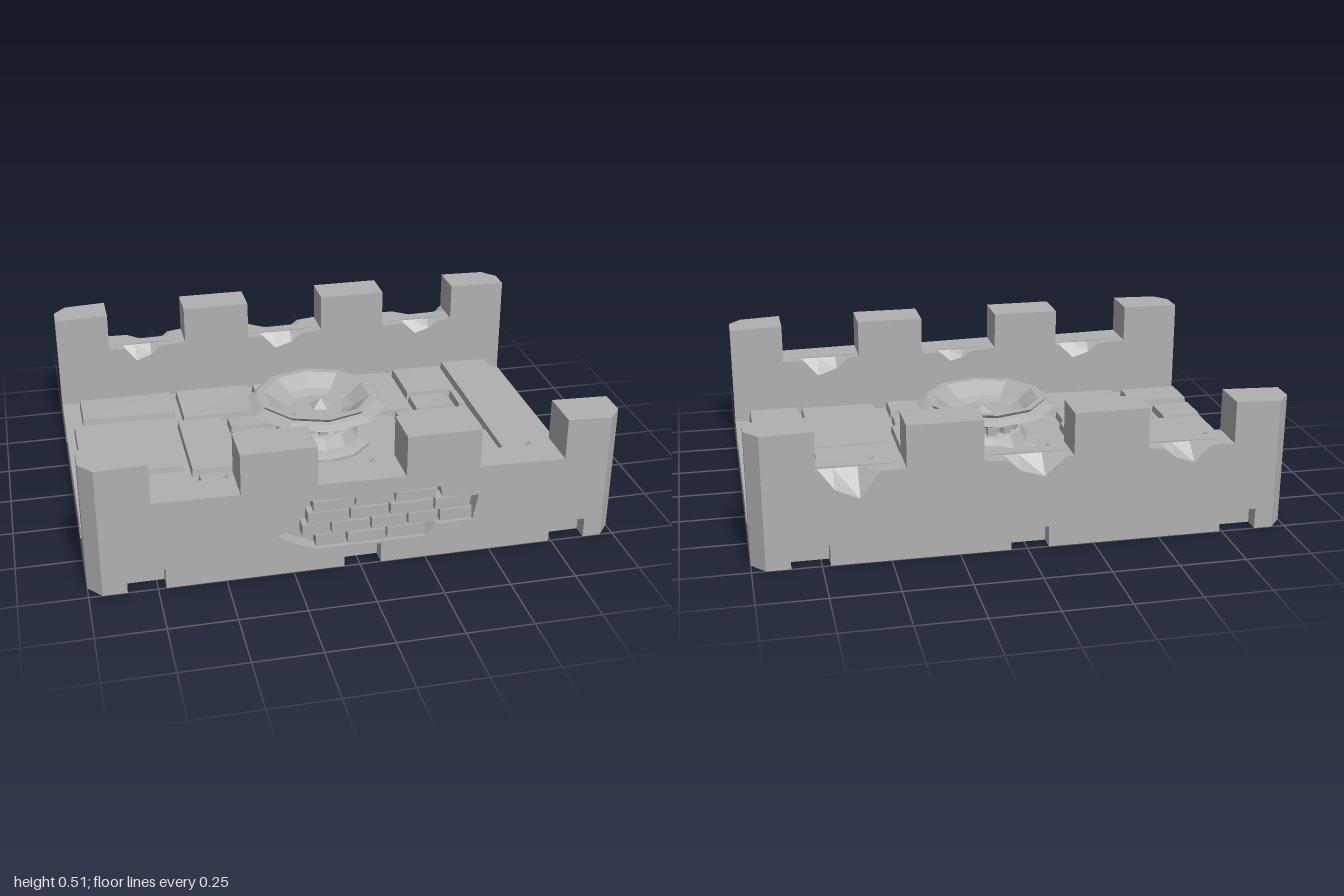
import * as THREE from 'three';

export function createModel() {
  const model = new THREE.Group();
  const stone = new THREE.MeshStandardMaterial({ color: 0xb0b0b0, flatShading: true });
  stone.name = 'grey stone';

  let seed = 7;
  const rand = () => (seed = (seed * 16807) % 2147483647) / 2147483647;
  const jitter = (a) => (rand() - 0.5) * 2 * a;
  const add = (parent, name, geometry, x = 0, y = 0, z = 0) => {
    geometry.computeVertexNormals();
    const mesh = new THREE.Mesh(geometry, stone);
    mesh.name = name;
    mesh.position.set(x, y, z);
    parent.add(mesh);
    return mesh;
  };
  const toShape = (pts) => new THREE.Shape(pts.map(([x, y]) => new THREE.Vector2(x, y)));
  const extrude = (shape, depth) => new THREE.ExtrudeGeometry(shape, { depth, bevelEnabled: false });

  // Battlement outline: optional foot notches and a chip in each gap
  const crenels = [[-0.76, -0.44], [-0.16, 0.17], [0.45, 0.78]];
  function battlement(chips, notched) {
    const pts = [[-1, 0]];
    if (notched) {
      for (const [a, b] of [[-0.86, -0.72], [-0.06, 0.08], [0.74, 0.88]]) {
        pts.push([a, 0], [a, 0.08], [b, 0.08], [b, 0]);
      }
    }
    pts.push([1, 0], [1, 0.505]);
    for (let i = 2; i >= 0; i--) {
      const [a, b] = crenels[i];
      pts.push([b, 0.512], [b, 0.352]);
      if (chips[i]) {
        const [at, width, drop] = chips[i];
        pts.push([at + width, 0.35], [at + width * 0.3, 0.35 - drop], [at - width * 0.5, 0.35 - drop * 0.6], [at - width, 0.35]);
      }
      pts.push([a, 0.358], [a, 0.512]);
    }
    pts.push([-1, 0.508]);
    return toShape(pts);
  }

  // Slopes chips up to the wall core; trims the outer corners
  function dressLayer(geometry, flatZ, trimZ, slopeChips) {
    const p = geometry.attributes.position;
    for (let i = 0; i < p.count; i++) {
      const near = (z) => Math.abs(p.getZ(i) - z) < 1e-4;
      if (slopeChips && near(flatZ) && p.getY(i) > 0.15 && p.getY(i) < 0.35) p.setY(i, 0.35);
      if (near(trimZ) && Math.abs(p.getX(i)) > 0.99) p.setX(i, Math.sign(p.getX(i)) * 0.95);
    }
    return geometry;
  }

  const skin = 0.06;
  function wall(name, thickness, outerChips, innerChips, hole) {
    const group = new THREE.Group();
    group.name = name;
    const outline = battlement(outerChips, true);
    if (hole) outline.holes.push(new THREE.Path(hole.map(([x, y]) => new THREE.Vector2(x, y))));
    add(group, 'outerFace', dressLayer(extrude(outline, skin), 0, skin, !hole), 0, 0, 0.75 - skin);
    const inner = 0.04;
    add(group, 'wallCore', extrude(battlement([], false), thickness - skin - inner), 0, 0, 0.75 - thickness + inner);
    add(group, 'innerFace', dressLayer(extrude(battlement(innerChips, false), inner), inner, -1, true), 0, 0, 0.75 - thickness);
    model.add(group);
    return group;
  }

  // Front wall with a broken patch showing brickwork
  const breach = [[-0.31, 0.16], [-0.24, 0.12], [-0.17, 0.09], [0.25, 0.09], [0.29, 0.135], [0.43, 0.14],
    [0.45, 0.24], [0.31, 0.25], [0.3, 0.295], [0.02, 0.285], [-0.19, 0.295], [-0.24, 0.21]];
  const front = wall('frontWall', 0.17, [], [[-0.55, 0.09, 0.06], [0.02, 0.07, 0.04], [0.6, 0.1, 0.07]], breach);
  const courses = [[0.095, 0.14, [-0.17, -0.05, 0.1, 0.25]], [0.145, 0.19, [-0.22, -0.11, 0.04, 0.18, 0.3, 0.43]],
    [0.195, 0.24, [-0.2, -0.04, 0.11, 0.28, 0.42]], [0.245, 0.284, [-0.18, -0.02, 0.13, 0.29]]];
  for (const [y0, y1, xs] of courses) {
    for (let i = 0; i < xs.length - 1; i++) {
      const w = xs[i + 1] - xs[i] - 0.008;
      add(front, 'exposedBrick', new THREE.BoxGeometry(w, y1 - y0, 0.06), (xs[i] + xs[i + 1]) / 2, (y0 + y1) / 2, 0.714 + jitter(0.004));
    }
  }

  // Back wall, turned to face outward
  wall('backWall', 0.15, [[-0.64, 0.11, 0.1], [0.03, 0.11, 0.07], [0.6, 0.09, 0.06]],
    [[-0.62, 0.08, 0.05], [0.02, 0.09, 0.06], [0.64, 0.08, 0.06]]).rotation.y = Math.PI;

  // Base slab with notches along both open sides
  const edge = [[-1, -0.69], [1, -0.69], [1, -0.48], [0.93, -0.48], [0.93, -0.34], [1, -0.34],
    [1, 0.32], [0.93, 0.32], [0.93, 0.46], [1, 0.46], [1, 0.69]];
  const leftEdge = edge.slice(2, 10).reverse().map(([x, y]) => [-x, y]);
  const foot = extrude(toShape([...edge, [-1, 0.69], ...leftEdge]), 0.08);
  foot.rotateX(-Math.PI / 2);
  add(model, 'notchedBase', foot);
  add(model, 'baseSlab', new THREE.BoxGeometry(2, 0.015, 1.38), 0, 0.0845, 0);
  add(model, 'mortarBed', new THREE.BoxGeometry(1.9, 0.02, 1.2), -0.05, 0.1, -0.01);

  // Paving stones: [x0, x1, z0, z1]
  const paving = [
    [-0.93, -0.53, -0.57, -0.36], [-0.51, -0.18, -0.57, -0.30], [-0.17, 0.06, -0.56, -0.40],
    [0.08, 0.25, -0.56, -0.40], [0.28, 0.46, -0.56, -0.17], [0.48, 0.71, -0.57, -0.32],
    [0.48, 0.65, -0.30, -0.17], [0.67, 0.71, -0.31, -0.17], [0.38, 0.71, -0.16, 0.06],
    [0.39, 0.715, 0.07, 0.57], [-0.97, -0.56, -0.32, 0.12], [-0.54, -0.35, -0.28, 0.16],
    [-0.98, -0.81, 0.14, 0.30], [-0.78, -0.54, 0.15, 0.31], [-0.52, -0.37, 0.19, 0.30],
    [-0.99, -0.73, 0.35, 0.52], [-0.70, -0.25, 0.33, 0.54], [-0.24, 0.17, 0.29, 0.57],
    [0.19, 0.34, 0.30, 0.40], [0.19, 0.34, 0.43, 0.57], [-0.33, 0.36, -0.15, 0.275],
    [-0.33, -0.16, -0.27, -0.16], [-0.15, 0.27, -0.385, -0.155], [0.72, 0.94, -0.6, 0.58]];
  for (const [x0, x1, z0, z1] of paving) {
    const g = new THREE.BoxGeometry(x1 - x0, 0.055, z1 - z0);
    const p = g.attributes.position;
    const drop = [0, 1, 2, 3].map(() => rand() * 0.008);
    for (let i = 0; i < p.count; i++) {
      if (p.getY(i) < 0) continue;
      const corner = (p.getX(i) > 0 ? 1 : 0) + (p.getZ(i) > 0 ? 2 : 0);
      p.setXYZ(i, p.getX(i) - Math.sign(p.getX(i)) * 0.006, p.getY(i) - drop[corner], p.getZ(i) - Math.sign(p.getZ(i)) * 0.006);
    }
    add(model, 'pavingStone', g, (x0 + x1) / 2, 0.1175, (z0 + z1) / 2);
  }

  // Fire bowl on a flared, fluted pedestal
  const bowl = new THREE.Group();
  bowl.name = 'fireBowl';
  bowl.position.set(0.005, 0, -0.01);
  model.add(bowl);
  const lathe = (pts, sides) => new THREE.LatheGeometry(pts.map(([x, y]) => new THREE.Vector2(x, y)), sides);
  add(bowl, 'pedestal', lathe([[0.225, 0.13], [0.225, 0.15], [0.19, 0.162], [0.175, 0.165], [0.15, 0.21], [0.13, 0.218], [0, 0.218]], 12));
  add(bowl, 'neck', new THREE.CylinderGeometry(0.11, 0.11, 0.07, 12), 0, 0.245, 0);
  for (let i = 0; i < 12; i++) {
    const a = (i / 12) * Math.PI * 2;
    add(bowl, 'neckRib', new THREE.BoxGeometry(0.035, 0.06, 0.03), Math.sin(a) * 0.118, 0.24, Math.cos(a) * 0.118).rotation.y = a;
  }
  add(bowl, 'basin', lathe([[0, 0.24], [0.12, 0.245], [0.15, 0.262], [0.2, 0.278], [0.285, 0.307], [0.255, 0.322],
    [0.235, 0.328], [0.245, 0.341], [0.215, 0.341], [0.15, 0.295], [0.08, 0.268], [0, 0.265]], 10));

  // Lump of ember stone in the bowl
  const ember = add(bowl, 'emberStone', new THREE.ConeGeometry(0.075, 0.05, 5), 0.02, 0.288, -0.01);
  ember.rotation.y = 0.4;

  return model;
}
